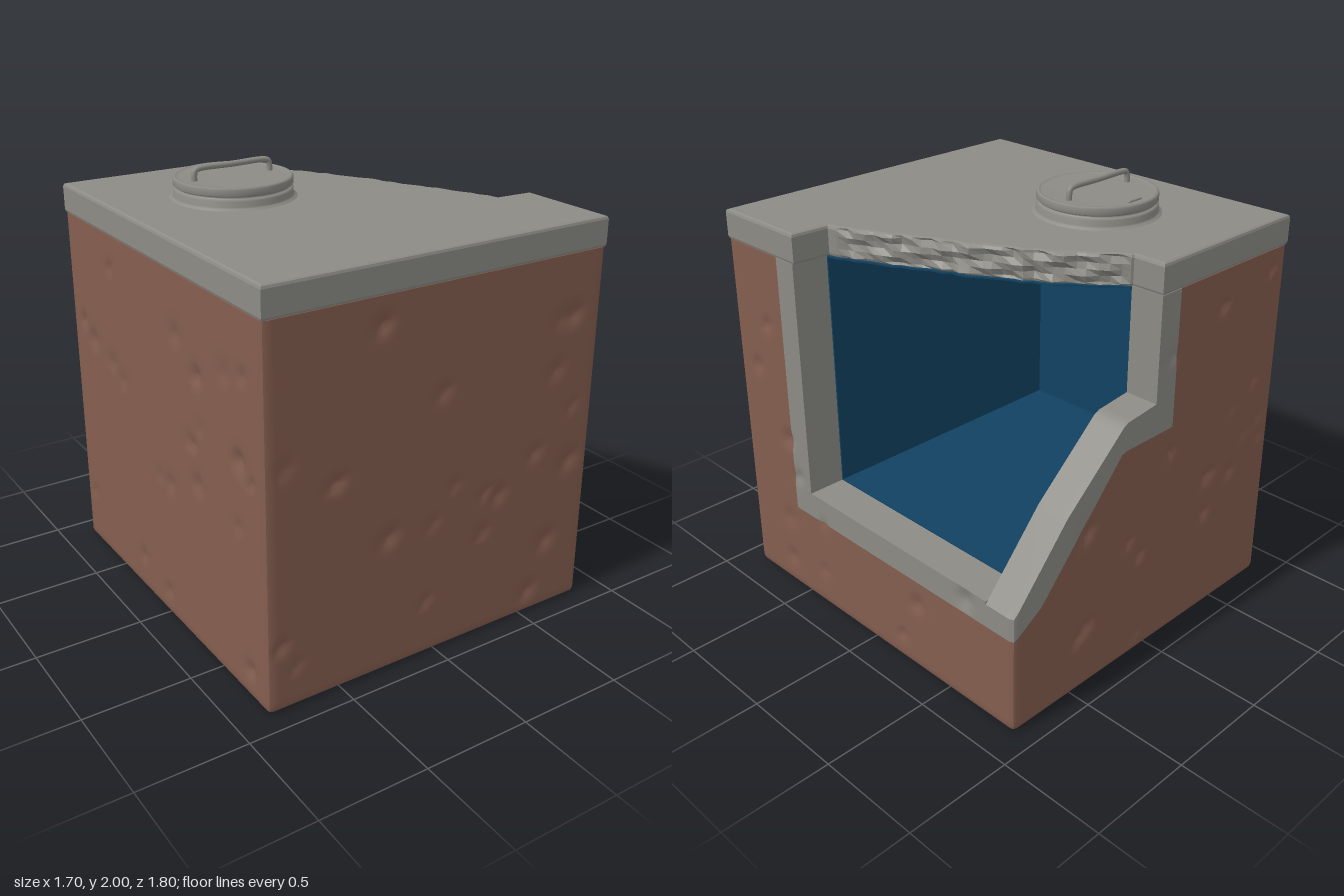
import * as THREE from 'three';

const mat = (name, color) => Object.assign(new THREE.MeshStandardMaterial({ color }), { name });
const clamp = THREE.MathUtils.clamp;

// small seeded random numbers
function seeded(seed) {
  let s = seed;
  return () => (s = (s * 16807) % 2147483647) / 2147483647;
}

// piecewise linear height along x
function heightLine(points) {
  return (x) => {
    for (let i = 1; i < points.length; i++) {
      const [x0, y0] = points[i - 1], [x1, y1] = points[i];
      if (x <= x1) return y0 + (y1 - y0) * clamp((x - x0) / (x1 - x0), 0, 1);
    }
    return points[points.length - 1][1];
  };
}

// scattered pits on the outer side faces
function makePits() {
  const rnd = seeded(77), pits = [];
  for (let i = 0; i < 90; i++) {
    const side = i % 4, u = rnd() * 1.6 - 0.8, y = 0.08 + rnd() * 1.55;
    const c = side < 2 ? [side ? 0.85 : -0.85, y, u] : [u, y, side === 2 ? 0.9 : -0.9];
    pits.push({ c: new THREE.Vector3(...c), r: 0.018 + rnd() * 0.022, d: 0.008 + rnd() * 0.014 });
  }
  return pits;
}

// round the outer edges of the block and press in the pits
function weather(geo, pits) {
  const pos = geo.attributes.position, p = new THREE.Vector3(), q = new THREE.Vector3();
  const r = 0.025;
  for (let i = 0; i < pos.count; i++) {
    p.fromBufferAttribute(pos, i);
    const outX = Math.abs(p.x) > 0.845, outZ = Math.abs(p.z) > 0.895;
    let push = 0;
    if (outX || outZ) for (const k of pits) push += k.d * Math.exp(-p.distanceToSquared(k.c) / (k.r * k.r));
    q.set(clamp(p.x, -0.85 + r, 0.85 - r), Math.max(p.y, r), clamp(p.z, -0.9 + r, 0.9 - r));
    const d = p.distanceTo(q);
    if (d > r) p.sub(q).multiplyScalar(r / d).add(q);
    if (outX) p.x -= Math.sign(p.x) * push;
    if (outZ) p.z -= Math.sign(p.z) * push;
    pos.setXYZ(i, p.x, p.y, p.z);
  }
  geo.computeVertexNormals();
  return geo;
}

export function createModel() {
  const model = new THREE.Group();
  model.name = 'undergroundTank';
  const soil = mat('soil', 0x855e50);
  const concrete = mat('concrete', 0x8c8b85);
  const lining = mat('blueLining', 0x114262);
  const pits = makePits();

  const add = (name, geo, material, parent = model) => {
    const m = new THREE.Mesh(geo, material);
    m.name = name;
    parent.add(m);
    return m;
  };
  // box given by its limits; optional heights bend its bottom and top along x
  const block = (name, material, [x0, x1], [y0, y1], [z0, z1], low, high) => {
    const n = (a, b) => Math.max(1, Math.round((b - a) / 0.025));
    const g = new THREE.BoxGeometry(x1 - x0, y1 - y0, z1 - z0, n(x0, x1), n(y0, y1), n(z0, z1));
    g.translate((x0 + x1) / 2, (y0 + y1) / 2, (z0 + z1) / 2);
    if (high) {
      const p = g.attributes.position;
      for (let i = 0; i < p.count; i++) {
        const t = (p.getY(i) - y0) / (y1 - y0), x = p.getX(i);
        p.setY(i, low(x) + (high(x) - low(x)) * t);
      }
    }
    return add(name, weather(g, pits), material);
  };
  const plate = (name, [x0, x1], [y0, y1], [z0, z1]) => {
    const g = new THREE.BoxGeometry(x1 - x0, y1 - y0, z1 - z0);
    g.translate((x0 + x1) / 2, (y0 + y1) / 2, (z0 + z1) / 2);
    return add(name, g, lining);
  };

  // soil around the tank
  const flat = () => 0.46;
  const soilTop = heightLine([[-0.1, 1.08], [0.22, 1.08], [0.69, 0.56], [0.85, 0.46]]);
  const bandTop = heightLine([[0.02, 1.23], [0.21, 1.21], [0.55, 0.91], [0.85, 0.57]]);
  block('soilBase', soil, [-0.85, 0.85], [0, 0.46], [-0.9, 0.9]);
  block('soilFront', soil, [-0.85, 0.85], [0.46, 1.71], [0.54, 0.9]);
  block('soilSide', soil, [-0.85, -0.67], [0.46, 1.71], [-0.74, 0.54]);
  block('soilBack', soil, [-0.85, -0.1], [0.46, 1.71], [-0.9, -0.74]);
  block('soilBackSlope', soil, [-0.1, 0.85], [0.46, 1.08], [-0.9, -0.74], flat, soilTop);

  // concrete walls and the rim of the cutaway
  block('frontWall', concrete, [-0.67, 0.85], [0.46, 1.71], [0.42, 0.54]);
  block('floorSlab', concrete, [-0.67, 0.85], [0.46, 0.585], [-0.74, 0.42]);
  block('backWallEdge', concrete, [-0.1, 0.02], [1.08, 1.71], [-0.9, -0.74]);
  block('slopedRim', concrete, [0.02, 0.85], [1.08, 1.21], [-0.9, -0.74], soilTop, bandTop);

  // blue inside faces
  plate('floorLining', [-0.67, 0.67], [0.583, 0.59], [-0.74, 0.42]);
  plate('sideLining', [-0.67, -0.663], [0.585, 1.71], [-0.74, 0.42]);
  plate('frontLining', [-0.67, 0.67], [0.585, 1.71], [0.413, 0.42]);
  plate('backLining', [-0.67, 0.02], [0.585, 1.71], [-0.74, -0.733]);

  // broken roof edge running across the opening
  const rnd = seeded(12);
  const cut = new THREE.SplineCurve([[0.03, -0.74], [0.16, -0.58], [0.3, -0.38], [0.41, -0.17], [0.48, 0], [0.58, 0.18], [0.67, 0.4]]
    .map(([x, z]) => new THREE.Vector2(x, -z))).getSpacedPoints(30);
  cut.forEach((p, i) => {
    if (i > 0 && i < 30) { p.x += (rnd() - 0.5) * 0.018; p.y += (rnd() - 0.5) * 0.012; }
  });
  const outline = (before, after) => new THREE.Shape([...before.map(([x, z]) => new THREE.Vector2(x, -z)), ...cut,
    ...after.map(([x, z]) => new THREE.Vector2(x, -z))]);

  const roofGeo = new THREE.ExtrudeGeometry(outline([[-0.85, -0.9], [0.02, -0.9], [0.02, -0.745]], [[0.85, 0.41], [0.85, 0.9], [-0.85, 0.9]]),
    { depth: 0.11, steps: 4, bevelThickness: 0.015, bevelSize: 0.014, bevelOffset: -0.014, bevelSegments: 2 });
  roofGeo.rotateX(-Math.PI / 2).translate(0, 1.72, 0);
  // chip the broken face
  const rp = roofGeo.attributes.position;
  for (let i = 0; i < rp.count; i++) {
    const x = rp.getX(i), y = rp.getY(i), z = rp.getZ(i);
    if (x > 0.04 && x < 0.66 && z > -0.74 && z < 0.4 && y > 1.715 && y < 1.835) {
      const w = Math.sin(y * 70 + x * 31) * 0.008 + Math.sin(y * 43 - z * 57) * 0.006;
      rp.setXYZ(i, x + w, y, z - w * 0.6);
    }
  }
  roofGeo.computeVertexNormals();
  add('roofSlab', roofGeo, concrete);

  const ceiling = new THREE.ExtrudeGeometry(outline([[-0.67, -0.74]], [[0.67, 0.42], [-0.67, 0.42]]), { depth: 0.007, bevelEnabled: false });
  ceiling.rotateX(-Math.PI / 2).translate(0, 1.698, 0);
  add('ceilingLining', ceiling, lining);

  // manhole cover: collar, groove and lid in one turned profile
  const hatch = new THREE.Group();
  hatch.name = 'hatch';
  hatch.position.set(-0.3, 1.84, -0.265);
  model.add(hatch);
  const profile = [[0.3, -0.005], [0.275, 0.012], [0.268, 0.018], [0.268, 0.042], [0.26, 0.05], [0.25, 0.05], [0.25, 0.06],
    [0.262, 0.06], [0.268, 0.066], [0.268, 0.092], [0.262, 0.1], [0.252, 0.1], [0.248, 0.093], [0, 0.093]];
  const lidGeo = new THREE.LatheGeometry(profile.map(([r, y]) => new THREE.Vector2(r, y)), 64);
  add('hatchLid', lidGeo, concrete, hatch);

  // lifting handle and small latch
  const handlePath = new THREE.CatmullRomCurve3([[-0.19, 0.08], [-0.19, 0.12], [-0.183, 0.14], [-0.165, 0.146], [0, 0.146],
    [0.165, 0.146], [0.183, 0.14], [0.19, 0.12], [0.19, 0.08]].map(([x, y]) => new THREE.Vector3(x, y, -0.005)), false, 'centripetal');
  add('hatchHandle', new THREE.TubeGeometry(handlePath, 60, 0.0135, 10), concrete, hatch);
  const latch = add('hatchLatch', new THREE.CapsuleGeometry(0.007, 0.07, 4, 8), concrete, hatch);
  latch.rotation.z = Math.PI / 2;
  latch.position.set(0, 0.096, -0.21);

  return model;
}
